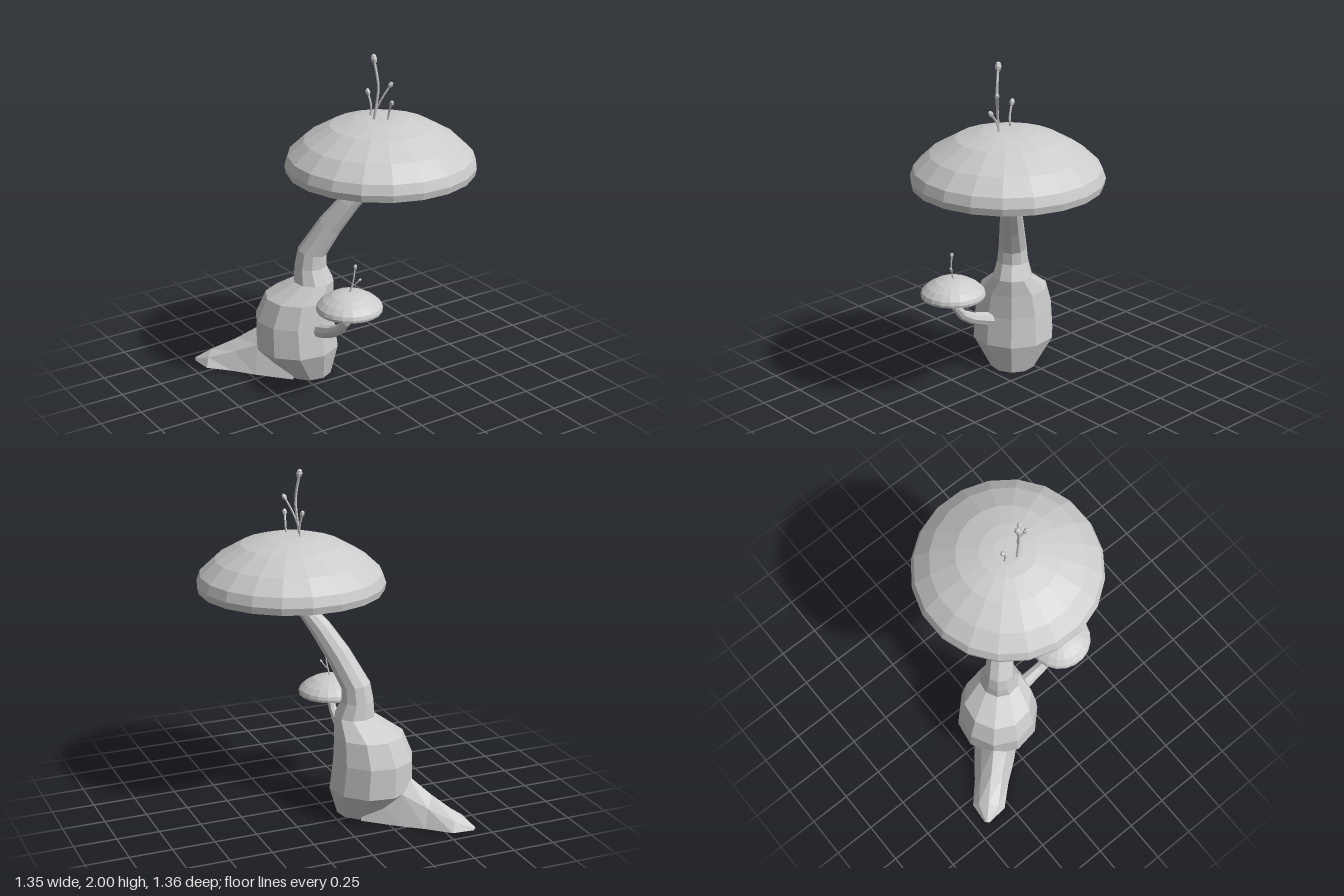
import * as THREE from 'three';

const V = (x, y, z) => new THREE.Vector3(x, y, z);
const UP = V(0, 1, 0);
const material = new THREE.MeshStandardMaterial({ color: 0xcccccc, flatShading: true });

function addMesh(parent, name, geometry) {
  const mesh = new THREE.Mesh(geometry, material);
  mesh.name = name;
  parent.add(mesh);
  return mesh;
}

// Skin a list of equal-sized rings of points and close both ends
function skin(rings) {
  const n = rings[0].length, pos = [], index = [];
  rings.forEach(ring => ring.forEach(p => pos.push(p.x, p.y, p.z)));
  for (let i = 0; i < rings.length - 1; i++) {
    for (let j = 0; j < n; j++) {
      const k = (j + 1) % n, a = i * n, b = a + n;
      index.push(a + j, a + k, b + k, a + j, b + k, b + j);
    }
  }
  const last = (rings.length - 1) * n;
  for (let j = 1; j < n - 1; j++) {
    index.push(0, j + 1, j, last, last + j, last + j + 1);
  }
  const geometry = new THREE.BufferGeometry();
  geometry.setAttribute('position', new THREE.Float32BufferAttribute(pos, 3));
  geometry.setIndex(index);
  geometry.computeVertexNormals();
  return geometry;
}

// Round rings [x, y, z, radius, tilt], each leaning by its tilt towards dir
function limb(sections, dir, sides) {
  const side = UP.clone().cross(dir);
  return skin(sections.map(([x, y, z, r, tilt]) => {
    const u = dir.clone().multiplyScalar(Math.cos(tilt)).addScaledVector(UP, -Math.sin(tilt));
    return Array.from({ length: sides }, (_, j) => {
      const a = (j / sides) * Math.PI * 2;
      return V(x, y, z).addScaledVector(u, r * Math.cos(a)).addScaledVector(side, r * Math.sin(a));
    });
  }));
}

// Hollow mushroom cap, scaled from a unit radius
function cap(parent, name, x, y, z, radius, height) {
  const profile = [
    [0, 0.42], [0.28, 0.42], [0.6, 0.34], [0.87, 0.1], [0.89, 0], [0.985, 0], [1, 0.13],
    [0.965, 0.31], [0.8, 0.58], [0.53, 0.85], [0.29, 0.97], [0.15, 1], [0, 1],
  ].map(([r, h]) => new THREE.Vector2(r * radius, h * height));
  const mesh = addMesh(parent, name, new THREE.LatheGeometry(profile, 20, Math.PI / 20));
  mesh.position.set(x, y, z);
}

// Thin curved stalk ending in a bud
function sprig(parent, name, points, budRadius) {
  const group = new THREE.Group();
  group.name = name;
  const curve = new THREE.CatmullRomCurve3(points.map(p => V(...p)));
  addMesh(group, 'stalk', new THREE.TubeGeometry(curve, 8, budRadius * 0.42, 5));
  const bud = addMesh(group, 'bud', new THREE.SphereGeometry(budRadius, 6, 4));
  bud.scale.y = 1.5;
  bud.position.copy(curve.getPoint(1));
  bud.quaternion.setFromUnitVectors(UP, curve.getTangent(1));
  parent.add(group);
}

export function createModel() {
  const model = new THREE.Group();
  model.name = 'mushroom';
  const diagonal = V(1, 0, 1).normalize();

  // Bulbous base narrowing into a leaning stem: [centre on diagonal, y, radius, tilt]
  const trunk = [
    [-0.175, 0, 0.135, 0], [-0.225, 0.18, 0.25, 0], [-0.232, 0.36, 0.238, 0],
    [-0.212, 0.5, 0.205, 0], [-0.15, 0.6, 0.12, 0], [-0.163, 0.69, 0.095, 0],
    [-0.155, 0.78, 0.086, 0.2], [-0.08, 0.95, 0.073, 0.6], [0, 1.1, 0.062, 0.65],
    [0.066, 1.2, 0.048, 0.55], [0.115, 1.32, 0.036, 0.35], [0.13, 1.46, 0.034, 0.1],
  ].map(([c, y, r, tilt]) => [c, y, c, r, tilt]);
  addMesh(model, 'trunk', limb(trunk, diagonal, 10));

  // Root foot spreading to the back: [centre on diagonal, half width, height]
  const back = diagonal.clone().negate();
  const across = UP.clone().cross(back);
  const foot = [
    [-0.22, 0.14, 0.34], [-0.385, 0.125, 0.27], [-0.49, 0.105, 0.17],
    [-0.605, 0.098, 0.08], [-0.675, 0.015, 0.015],
  ].map(([c, w, h]) =>
    [[-1, 0], [1, 0], [0.62, 0.65], [0, 1], [-0.62, 0.65]].map(([s, t]) =>
      V(c, t * h, c).addScaledVector(across, s * w)));
  addMesh(model, 'rootFoot', skin(foot));

  // Side branch curving up to the small cap
  const branch = [
    [-0.2, 0.33, -0.06, 0.048, 1.4], [-0.2, 0.345, 0.02, 0.043, 1.3],
    [-0.2, 0.385, 0.13, 0.036, 1.1], [-0.195, 0.43, 0.205, 0.031, 0.85],
    [-0.188, 0.49, 0.258, 0.026, 0.5], [-0.182, 0.56, 0.283, 0.021, 0.15],
    [-0.18, 0.63, 0.285, 0.02, 0],
  ];
  addMesh(model, 'sideBranch', limb(branch, V(0, 0, 1), 8));

  cap(model, 'largeCap', 0.125, 1.315, 0.135, 0.545, 0.313);
  cap(model, 'smallCap', -0.182, 0.58, 0.285, 0.19, 0.11);

  // Sprigs growing on the large cap
  sprig(model, 'tallSprig',
    [[0.065, 1.61, 0.148], [0.075, 1.72, 0.165], [0.08, 1.82, 0.173], [0.065, 1.973, 0.15]], 0.019);
  sprig(model, 'forkedSprig',
    [[0.07, 1.67, 0.155], [0.095, 1.75, 0.185], [0.13, 1.83, 0.217]], 0.014);
  sprig(model, 'frontSprig',
    [[0.127, 1.61, 0.2], [0.127, 1.67, 0.21], [0.116, 1.735, 0.25]], 0.014);
  sprig(model, 'backSprig',
    [[0.088, 1.61, 0.08], [0.09, 1.68, 0.088], [0.083, 1.76, 0.065]], 0.015);

  // Sprigs growing on the small cap
  sprig(model, 'smallSprig',
    [[-0.182, 0.68, 0.285], [-0.17, 0.76, 0.305], [-0.16, 0.845, 0.31]], 0.011);
  sprig(model, 'smallFork',
    [[-0.178, 0.72, 0.295], [-0.16, 0.745, 0.315], [-0.145, 0.77, 0.332]], 0.008);

  return model;
}
